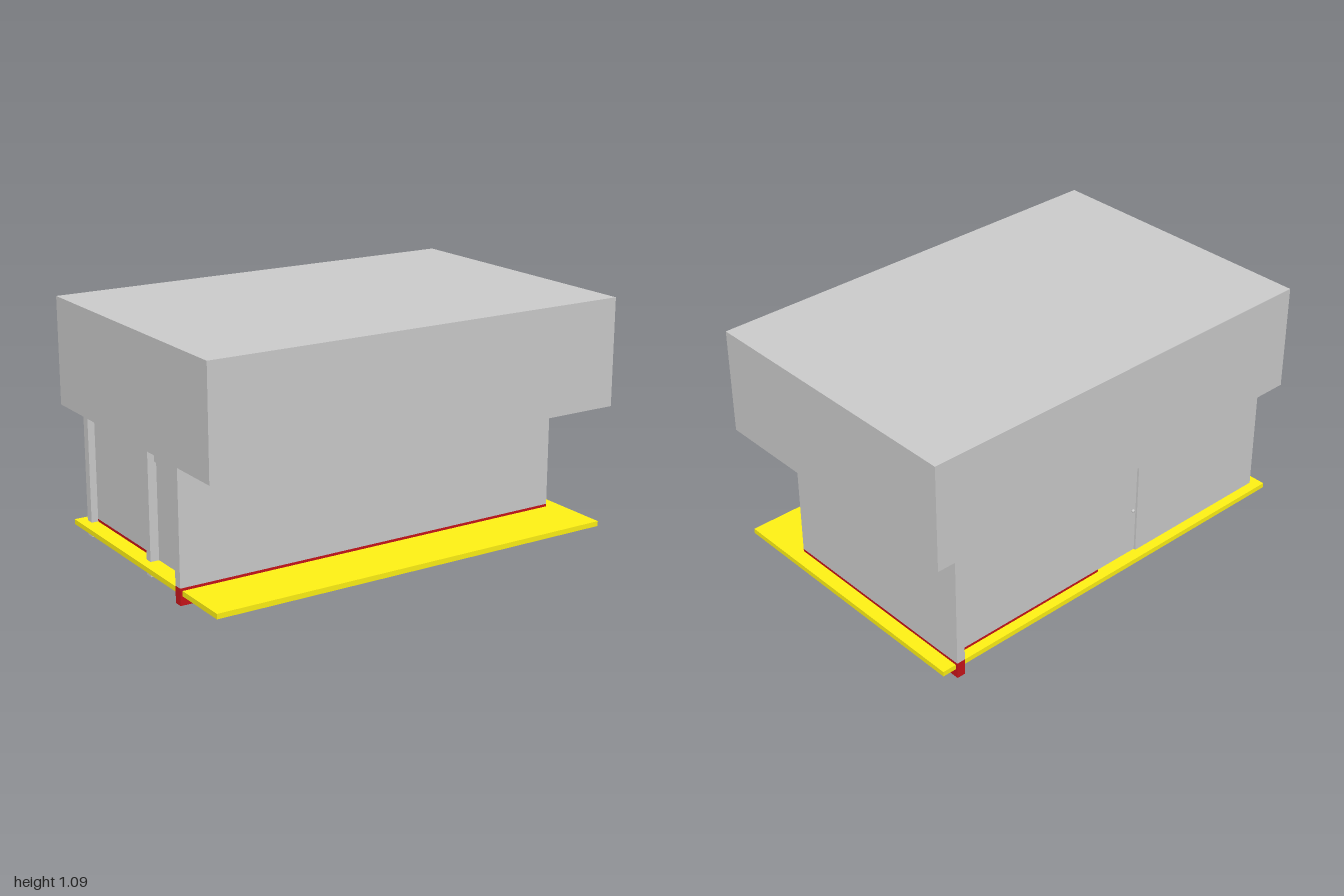
import * as THREE from 'three';

const grey = new THREE.MeshStandardMaterial({ color: 0xcccccc });
const red = new THREE.MeshStandardMaterial({ color: 0xc8141a });
const yellow = new THREE.MeshStandardMaterial({ color: 0xfff214 });

const BASE = 0.08, FLOOR = 0.068, DOOR = 0.503, ROOF = 0.6;

// Box given by its limits along each axis
function box(name, [x0, x1], [y0, y1], [z0, z1], material = grey) {
  const mesh = new THREE.Mesh(new THREE.BoxGeometry(x1 - x0, y1 - y0, z1 - z0), material);
  mesh.position.set((x0 + x1) / 2, (y0 + y1) / 2, (z0 + z1) / 2);
  mesh.name = name;
  return mesh;
}

// Wall standing on a coloured footing
function wall(name, x, z, footing = red, bottom = 0.005) {
  const group = new THREE.Group();
  group.name = name;
  group.add(box('footing', x, [bottom, BASE], z, footing), box('wallFace', x, [BASE, ROOF], z));
  return group;
}

// Door leaf recessed in its opening, with a lintel above and a knob on each side
function door(name, x, z, knobAt) {
  const group = new THREE.Group();
  group.name = name;
  const alongX = x[1] - x[0] > z[1] - z[0];
  const inset = ([a, b]) => [a + 0.01, b - 0.01];
  group.add(box('lintel', x, [DOOR, ROOF], z));
  group.add(box('doorLeaf', alongX ? x : inset(x), [FLOOR, DOOR], alongX ? inset(z) : z));
  const across = alongX ? z : x;
  for (const side of across) {
    const knob = new THREE.Mesh(new THREE.SphereGeometry(0.008, 12, 8), grey);
    knob.name = 'doorKnob';
    if (alongX) knob.position.set(knobAt, 0.29, side);
    else knob.position.set(side, 0.29, knobAt);
    group.add(knob);
  }
  return group;
}

export function createModel() {
  const model = new THREE.Group();
  model.name = 'house';

  // Roof block and floor slab
  model.add(box('roof', [-1, 1], [ROOF, 1.085], [-0.667, 0.667]));
  model.add(box('floorSlab', [-0.97, 0.97], [0.045, FLOOR], [-0.645, 0.65], yellow));

  // Outer walls
  model.add(
    wall('frontWall', [-0.98, 0.865], [0.33, 0.37]),
    wall('leftWall', [0.865, 0.905], [-0.655, 0.37]),
    wall('backWallLong', [0.06, 0.865], [-0.6, -0.56], red, 0),
    wall('backWallShort', [-0.927, -0.17], [-0.6, -0.56], grey, 0),
    wall('rightWall', [-0.895, -0.86], [-0.56, -0.02])
  );

  // Partitions around the small room
  model.add(
    wall('roomSideWall', [-0.35, -0.315], [-0.56, 0.015], grey, 0),
    wall('roomInnerWall', [-0.5, -0.35], [-0.02, 0.015], grey, 0),
    wall('roomOuterWall', [-0.93, -0.73], [-0.02, 0.015], grey, 0)
  );

  // Short piers on the inside of the front wall
  model.add(
    wall('cornerPier', [0.8, 0.865], [0.275, 0.33]),
    wall('hallPier', [-0.375, -0.315], [0.275, 0.33]),
    wall('entrancePier', [-0.905, -0.86], [0.245, 0.33], grey)
  );

  // Doors
  model.add(
    door('backDoor', [-0.17, 0.06], [-0.6, -0.56], -0.145),
    door('roomDoor', [-0.73, -0.5], [-0.02, 0.015], -0.525),
    door('entranceDoor', [-0.9, -0.865], [0.015, 0.245], 0.215),
    door('hallDoor', [-0.35, -0.315], [0.015, 0.275], 0.24)
  );

  return model;
}
